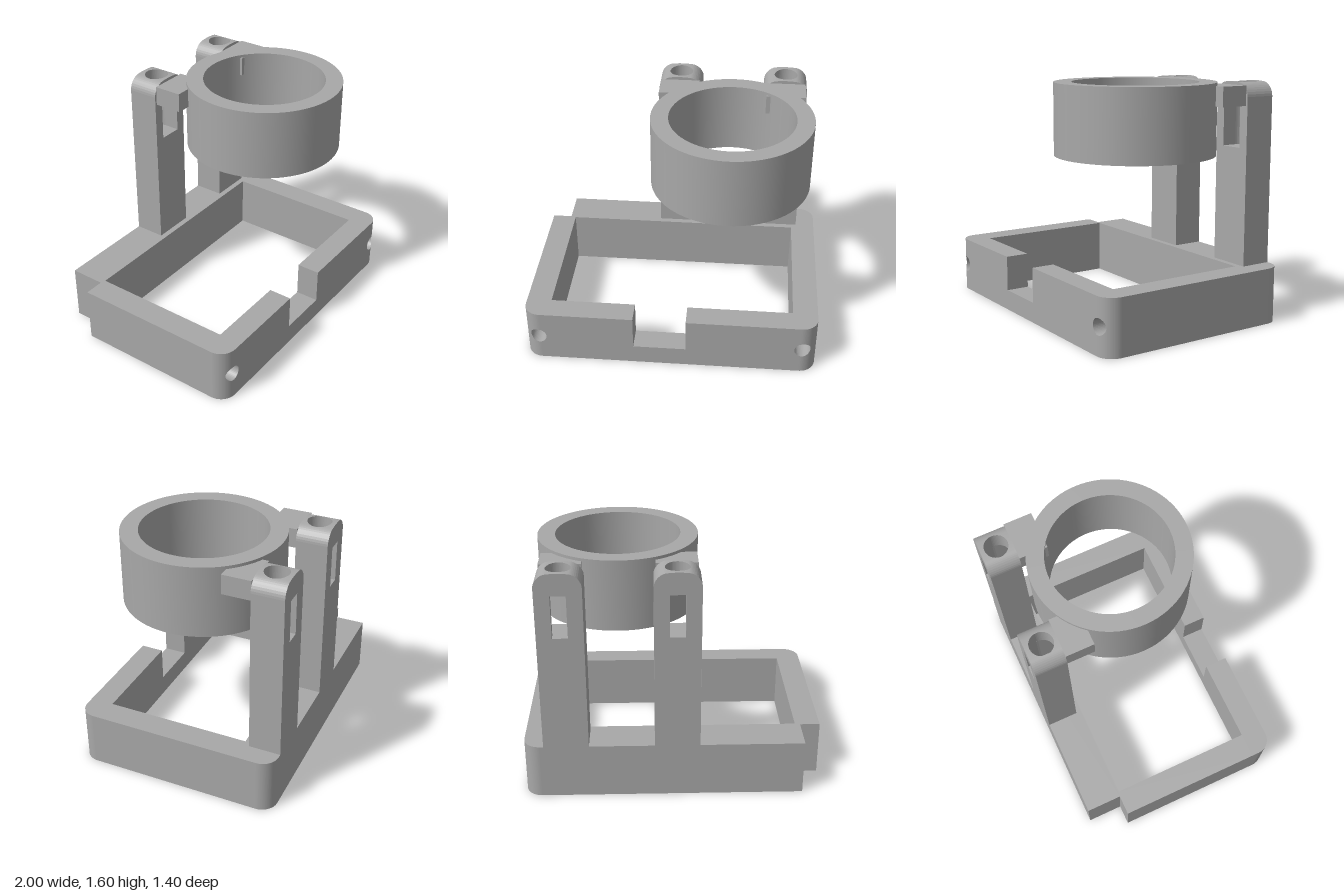
import * as THREE from 'three';
import { mergeGeometries } from 'three/addons/utils/BufferGeometryUtils.js';

const grey = new THREE.MeshStandardMaterial({ color: 0xa8a8a8 });
grey.name = 'plain grey';

function add(parent, name, geometry) {
  const mesh = new THREE.Mesh(geometry, grey);
  mesh.name = name;
  parent.add(mesh);
  return mesh;
}

function block(x0, x1, y0, y1, z0, z1) {
  return new THREE.BoxGeometry(x1 - x0, y1 - y0, z1 - z0)
    .translate((x0 + x1) / 2, (y0 + y1) / 2, (z0 + z1) / 2);
}

// Row of thin columns along x; y and z limits are numbers or rules of x
function slab(xs, y0, y1, z0, z1) {
  const at = (f, x) => (typeof f === 'number' ? f : f(x));
  const parts = [];
  for (let i = 0; i < xs.length - 1; i++) {
    const g = new THREE.BoxGeometry(1, 1, 1);
    const p = g.attributes.position;
    for (let v = 0; v < p.count; v++) {
      const x = p.getX(v) < 0 ? xs[i] : xs[i + 1];
      p.setXYZ(v, x, at(p.getY(v) < 0 ? y0 : y1, x), at(p.getZ(v) < 0 ? z0 : z1, x));
    }
    g.computeVertexNormals();
    parts.push(g);
  }
  return mergeGeometries(parts);
}

// Samples from a to b, denser at both ends
function spread(a, b, n) {
  return Array.from({ length: n + 1 }, (_, i) => (a + b) / 2 - (b - a) / 2 * Math.cos(Math.PI * i / n));
}
const chord = (r, d) => Math.sqrt(Math.max(0, r * r - d * d));

const BASE_H = 0.38;

function makeBase() {
  const base = new THREE.Group();
  base.name = 'base frame';

  // Side and back walls, with one stepped and one rounded back corner
  const plan = new THREE.Shape();
  plan.moveTo(-1, 0.54);
  plan.lineTo(-1, -0.455);
  plan.lineTo(-0.865, -0.455);
  plan.lineTo(-0.865, -0.7);
  plan.lineTo(0.89, -0.7);
  plan.absarc(0.89, -0.59, 0.11, -Math.PI / 2, 0, false);
  plan.lineTo(1, 0.54);
  plan.lineTo(0.83, 0.54);
  plan.lineTo(0.83, -0.445);
  plan.lineTo(-0.83, -0.445);
  plan.lineTo(-0.83, 0.54);
  const walls = new THREE.ExtrudeGeometry(plan, { depth: BASE_H, bevelEnabled: false, curveSegments: 16 });
  walls.rotateX(Math.PI / 2).translate(0, BASE_H, 0);
  add(base, 'side and back walls', walls);

  // Front wall with its rectangular notch
  const front = new THREE.Shape([
    [-0.83, 0], [0.83, 0], [0.83, BASE_H], [0.11, BASE_H],
    [0.11, 0.14], [-0.25, 0.14], [-0.25, BASE_H], [-0.83, BASE_H],
  ].map(([x, y]) => new THREE.Vector2(x, y)));
  add(base, 'notched front wall',
    new THREE.ExtrudeGeometry(front, { depth: 0.16, bevelEnabled: false }).translate(0, 0, 0.54));

  // Rounded front corners with a blind round hole in each
  const face = x => 0.59 + chord(0.11, Math.max(0, Math.abs(x) - 0.89));
  const half = x => chord(0.055, Math.abs(x) - 0.905);
  const arc = Array.from({ length: 11 }, (_, i) => 0.89 + 0.11 * Math.sin(0.72 + (Math.PI / 2 - 0.72) * i / 10));
  const right = [0.83, ...spread(0.85, 0.96, 20), ...arc];
  const left = right.map(x => -x).reverse();
  for (const [name, xs] of [['left front corner', left.map(x => -x).reverse()], ['right front corner', left]]) {
    add(base, name, mergeGeometries([
      slab(xs, 0, x => 0.19 - half(x), 0.54, face),
      slab(xs, x => 0.19 + half(x), BASE_H, 0.54, face),
    ]));
  }
  return base;
}

function makePost(name, cx) {
  const post = new THREE.Group();
  post.name = name;
  const back = -0.7, front = -0.485, mid = -0.59, bore = 0.08;
  const floor = 1.17, roof = 1.455;

  // Solid lower column
  add(post, 'column', block(-0.15, 0.15, BASE_H, floor, back, front));

  // Cheeks beside the pocket: wide and round at the front, narrow at the back
  const behind = x => mid - chord(bore, x);
  const ahead = x => mid + chord(bore, x);
  add(post, 'pocket cheeks', mergeGeometries([
    block(-0.15, -bore, floor, roof, back, front),
    block(bore, 0.15, floor, roof, back, front),
    slab(spread(-bore, -0.05, 8), floor, roof, back, behind),
    slab(spread(0.05, bore, 8), floor, roof, back, behind),
  ]));

  // Arched cap with a vertical bore
  const arch = x => {
    const a = Math.abs(x);
    return 1.603 - 0.9 * a * a - (a > 0.07 ? 0.075 * (1 - chord(1, Math.min(1, (a - 0.07) / 0.08))) : 0);
  };
  const xs = [...spread(-0.15, -bore, 10).slice(0, -1), ...spread(-bore, bore, 28), ...spread(bore, 0.15, 10).slice(1)];
  add(post, 'bored cap', mergeGeometries([
    slab(xs, roof, arch, back, behind),
    slab(xs, roof, arch, ahead, front),
  ]));

  // Arm reaching forward to the ring
  add(post, 'arm', block(-0.135, 0.135, 1.45, 1.582, front, -0.29));
  post.position.x = cx;
  return post;
}

function makeRing() {
  // Square section, one surface per edge so the rims stay sharp
  const section = [[0.42, 1.12], [0.538, 1.12], [0.538, 1.602], [0.42, 1.602]]
    .map(([r, y]) => new THREE.Vector2(r, y));
  const sides = section.map((p, i) => new THREE.LatheGeometry([p, section[(i + 1) % 4]], 80));
  return mergeGeometries(sides).translate(0.362, 0, 0.05);
}

export function createModel() {
  const model = new THREE.Group();
  model.name = 'ring holder';
  model.add(makeBase(), makePost('right post', -0.02), makePost('left post', 0.715));
  add(model, 'ring', makeRing());
  return model;
}
